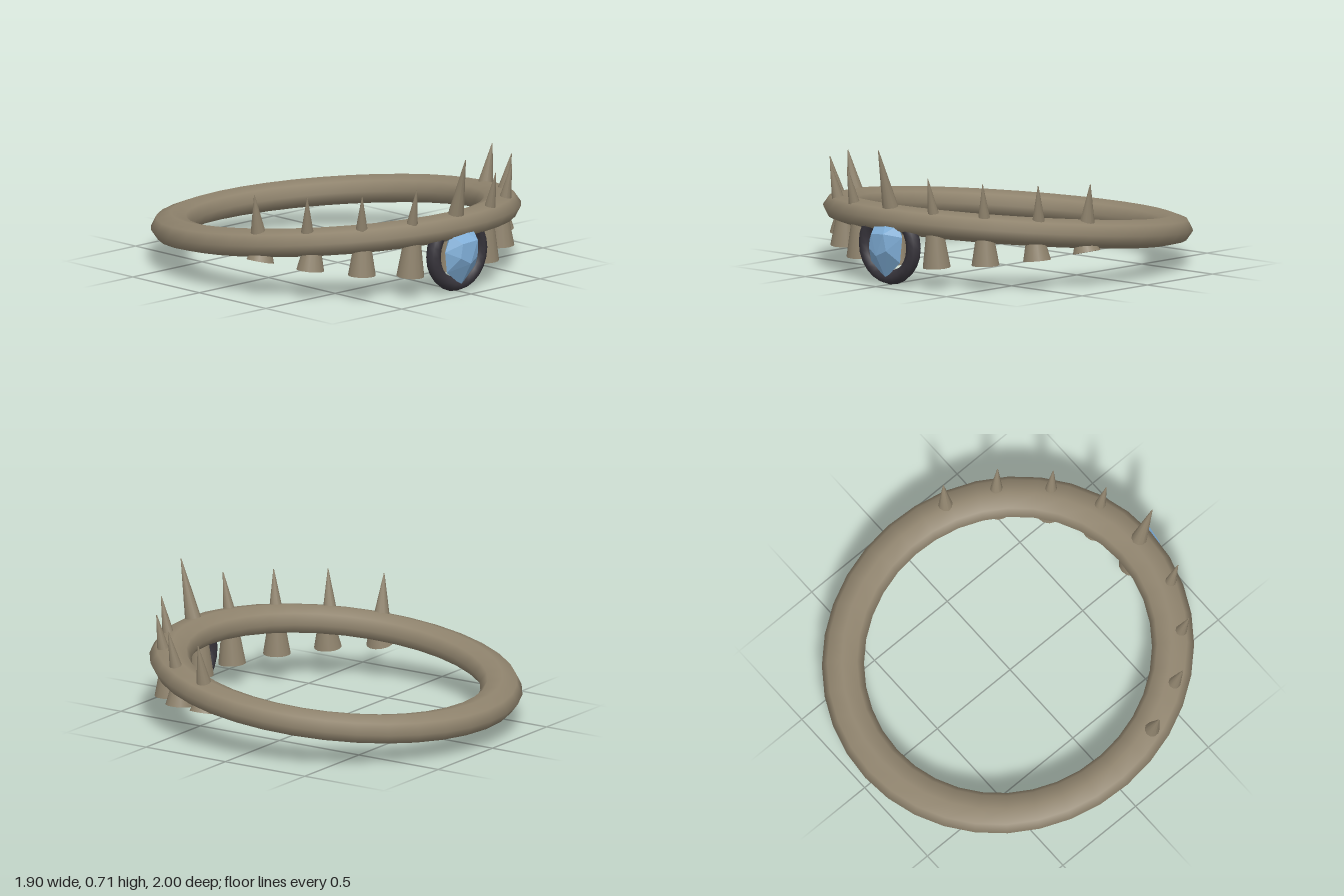
import * as THREE from 'three';
import { ConvexGeometry } from 'three/addons/geometries/ConvexGeometry.js';

const bone = new THREE.MeshStandardMaterial({ name: 'bone', color: 0x8f836d });
const darkIron = new THREE.MeshStandardMaterial({ name: 'dark iron', color: 0x38353c });
const blueGem = new THREE.MeshStandardMaterial({ name: 'blue gem', color: 0x7fadd6 });

const UP = new THREE.Vector3(0, 1, 0);

// Tapered round part running from one point to another
function taper(name, from, to, rFrom, rTo, sides) {
  const a = new THREE.Vector3(...from);
  const dir = new THREE.Vector3(...to).sub(a);
  const geo = new THREE.CylinderGeometry(rTo, rFrom, dir.length(), sides);
  const mesh = new THREE.Mesh(geo, bone);
  mesh.name = name;
  mesh.position.copy(a).addScaledVector(dir, 0.5);
  mesh.quaternion.setFromUnitVectors(UP, dir.normalize());
  return mesh;
}

export function createModel() {
  const group = new THREE.Group();
  group.name = 'circlet';

  // Band: flattened oval ring, raised at the front
  const bandGeo = new THREE.TorusGeometry(0.8425, 0.1075, 8, 36);
  bandGeo.rotateX(-Math.PI / 2);
  bandGeo.scale(1, 0.7, 1.04);
  const band = new THREE.Mesh(bandGeo, bone);
  band.name = 'band';
  band.rotation.x = -0.105;
  band.position.set(0, 0.253, -0.014);
  group.add(band);

  // Spikes along the front: base x, y, z, radius, tip x on each side, tip y, z
  const spikes = [
    [0.275, 0.37, 0.85, 0.034, 0.275, 0.295, 0.59, 0.90],
    [0.51, 0.36, 0.72, 0.036, 0.53, 0.55, 0.57, 0.755],
    [0.70, 0.34, 0.51, 0.038, 0.73, 0.745, 0.56, 0.545],
    [0.81, 0.31, 0.26, 0.046, 0.85, 0.867, 0.55, 0.275],
  ];
  for (const [x, y, z, r, tipLeft, tipRight, tipY, tipZ] of spikes) {
    group.add(taper('leftSpike', [x, y, z], [tipLeft, tipY, tipZ], r, 0.002, 10));
    group.add(taper('rightSpike', [-x - 0.01, y, z], [-tipRight, tipY, tipZ], r, 0.002, 10));
  }
  group.add(taper('centreSpike', [0, 0.38, 0.88], [-0.01, 0.717, 0.97], 0.046, 0.002, 10));

  // Blunt studs hanging below: top x, y, z, then bottom x, y, z
  const studs = [
    [0.265, 0.32, 0.835, 0.27, 0.115, 0.825],
    [0.495, 0.31, 0.70, 0.50, 0.135, 0.70],
    [0.67, 0.29, 0.505, 0.685, 0.158, 0.505],
    [0.795, 0.27, 0.265, 0.815, 0.187, 0.265],
  ];
  for (const [x, y, z, bx, by, bz] of studs) {
    for (const s of [1, -1]) {
      group.add(taper('stud', [s * bx, by, bz], [s * x, y, z], 0.073, 0.043, 14));
    }
  }
  group.add(taper('centreStud', [0, 0.11, 0.84], [0, 0.32, 0.845], 0.07, 0.043, 14));

  // Dark ring holding the gem
  const setting = new THREE.Mesh(new THREE.TorusGeometry(0.168, 0.038, 8, 24), darkIron);
  setting.name = 'gemSetting';
  setting.position.set(0, 0.21, 0.893);
  group.add(setting);

  // Faceted gem: girdle outline with a smaller facet ring in front and behind
  const girdle = [[-0.075, 0.315], [0.005, 0.335], [0.085, 0.325], [0.118, 0.265],
    [0.102, 0.13], [0, 0.04], [-0.102, 0.12], [-0.115, 0.23]];
  const table = [[-0.045, 0.275], [0.05, 0.285], [0.06, 0.195], [0, 0.165], [-0.06, 0.2]];
  const points = girdle.map(([x, y]) => new THREE.Vector3(x, y, 0.925));
  table.forEach(([x, y], i) => {
    const dip = i % 2 ? 0 : 0.012;
    points.push(new THREE.Vector3(x, y, 1 - dip), new THREE.Vector3(x, y, 0.86 + dip));
  });
  const gem = new THREE.Mesh(new ConvexGeometry(points), blueGem);
  gem.name = 'gem';
  group.add(gem);

  return group;
}
